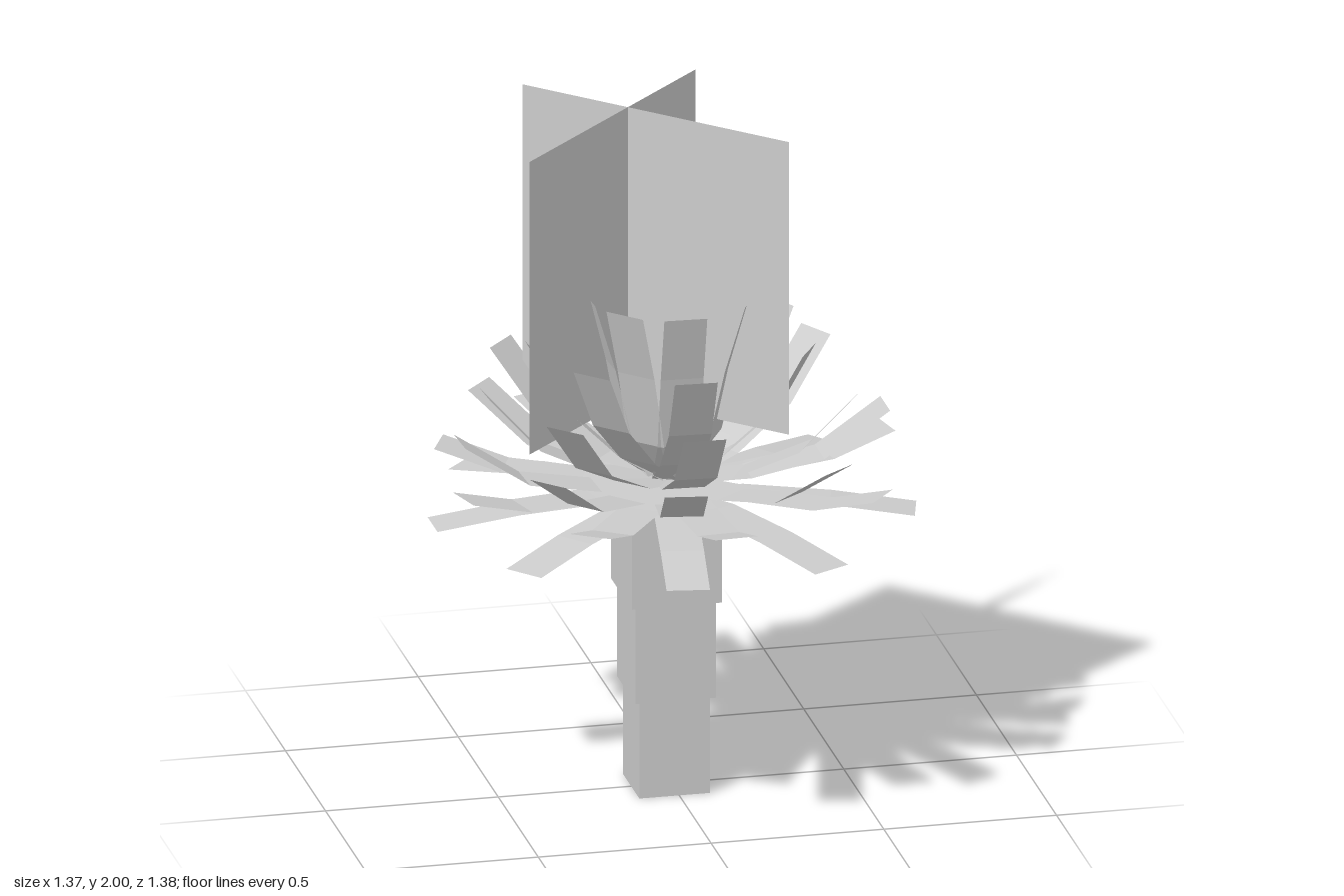
import * as THREE from 'three';

const material = new THREE.MeshStandardMaterial({
  color: 0xcccccc, flatShading: true, side: THREE.DoubleSide,
});

// A flat strip of constant width, bent along a [radius, height] profile
function leafGeometry(profile, width) {
  const positions = [], index = [];
  profile.forEach(([r, y], i) => {
    positions.push(r, y, width / 2, r, y, -width / 2);
    if (i > 0) {
      const a = 2 * i - 2;
      index.push(a, a + 2, a + 1, a + 1, a + 2, a + 3);
    }
  });
  const g = new THREE.BufferGeometry();
  g.setAttribute('position', new THREE.Float32BufferAttribute(positions, 3));
  g.setIndex(index);
  const flat = g.toNonIndexed();
  flat.computeVertexNormals();
  return flat;
}

// Leaf directions in degrees, measured from +x towards +z
const lower = [-90, -38, 15, 62, 99, 140, 180, -137];
const second = [-113, -64, -12, 40, 87, 123, 164, -155];
const third = [-99, -52, 0, 53, 99, 137, 177, -138];
const upper = [-99, -29, 31, 93, 136, 177, -138];

// Tiers from the drooping outer leaves to the upright heart
const tiers = [
  { name: 'droopingLeaf', angles: lower, profile: [[0, 0.865], [0.2, 0.88], [0.45, 0.865], [0.69, 0.835]] },
  { name: 'spreadingLeaf', angles: second, profile: [[0, 0.91], [0.25, 0.91], [0.48, 0.92], [0.67, 0.975]] },
  { name: 'risingLeaf', angles: third, profile: [[0, 0.92], [0.22, 0.92], [0.43, 0.96], [0.62, 1.09]] },
  { name: 'archedLeaf', angles: upper, profile: [[0, 0.92], [0.2, 0.96], [0.4, 1.06], [0.55, 1.23]] },
  { name: 'steepLeaf', angles: upper, profile: [[0.02, 0.92], [0.17, 1.02], [0.31, 1.16], [0.41, 1.35]] },
  { name: 'heartLeaf', angles: upper, profile: [[0.03, 0.92], [0.13, 1.06], [0.18, 1.28], [0.24, 1.48]] },
];

export function createModel() {
  const model = new THREE.Group();
  model.name = 'plant';

  // Trunk of stacked blocks, each wider than the one below
  const trunk = new THREE.Group();
  trunk.name = 'trunk';
  const blockHeight = 0.29;
  [0.205, 0.232, 0.26].forEach((width, i) => {
    const block = new THREE.Mesh(new THREE.BoxGeometry(width, blockHeight, width), material);
    block.name = 'trunkBlock';
    block.position.set(-0.013, blockHeight * (i + 0.5), 0);
    trunk.add(block);
  });
  model.add(trunk);

  // Rosette of bent leaves
  const rosette = new THREE.Group();
  rosette.name = 'rosette';
  for (const { name, angles, profile } of tiers) {
    const geometry = leafGeometry(profile, 0.123);
    for (const angle of angles) {
      const leaf = new THREE.Mesh(geometry, material);
      leaf.name = name;
      leaf.rotation.y = -THREE.MathUtils.degToRad(angle);
      rosette.add(leaf);
    }
  }
  model.add(rosette);

  // Two crossed upright square panels
  const panel = new THREE.PlaneGeometry(0.885, 0.88);
  for (const [x, z, turn] of [[-0.157, -0.055, Math.PI / 4], [-0.033, -0.048, -Math.PI / 4]]) {
    const mesh = new THREE.Mesh(panel, material);
    mesh.name = 'crossedPanel';
    mesh.position.set(x, 1.56, z);
    mesh.rotation.y = turn;
    model.add(mesh);
  }
  return model;
}
